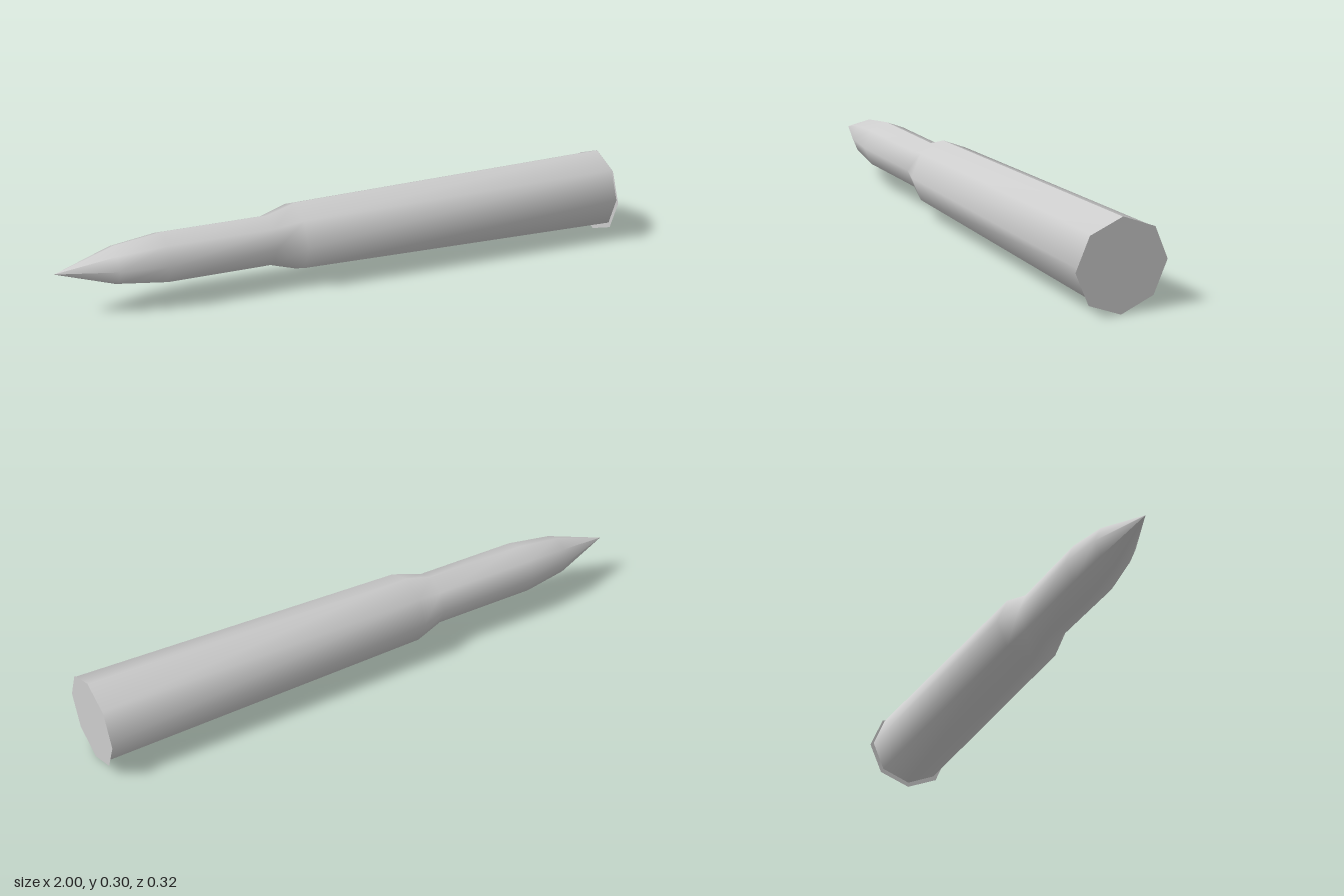
import * as THREE from 'three';

const AXIS_Y = 0.158;

export function createModel() {
  const model = new THREE.Group();
  model.name = 'rifleCartridge';
  const metal = new THREE.MeshStandardMaterial({ color: 0xcccccc, side: THREE.DoubleSide });
  metal.name = 'plain grey metal';

  // Radius along the axis: pointed tip, ogive, neck, shoulder, tapering case
  const profile = [
    [0, -1], [0.068, -0.8], [0.09, -0.64], [0.09, -0.27], [0.121, -0.17], [0.143, 1],
  ].map(([r, x]) => new THREE.Vector2(r, x));

  // Two smooth half shells that meet in a sharp ridge at top and bottom
  for (const [name, start] of [['frontShell', -Math.PI / 2], ['backShell', Math.PI / 2]]) {
    const shell = new THREE.LatheGeometry(profile, 4, start, Math.PI);
    shell.rotateZ(-Math.PI / 2);
    shell.scale(1, 0.985, 1.015);
    shell.computeVertexNormals();
    const mesh = new THREE.Mesh(shell, metal);
    mesh.name = name;
    mesh.position.y = AXIS_Y;
    model.add(mesh);
  }

  // Flat eight-sided base plate, slightly wider than the case
  const base = new THREE.CircleGeometry(1, 8);
  base.rotateY(Math.PI / 2);
  base.scale(1, 0.15, 0.158);
  const baseMesh = new THREE.Mesh(base, metal);
  baseMesh.name = 'basePlate';
  baseMesh.position.set(1, 0.15, 0);
  model.add(baseMesh);

  return model;
}
